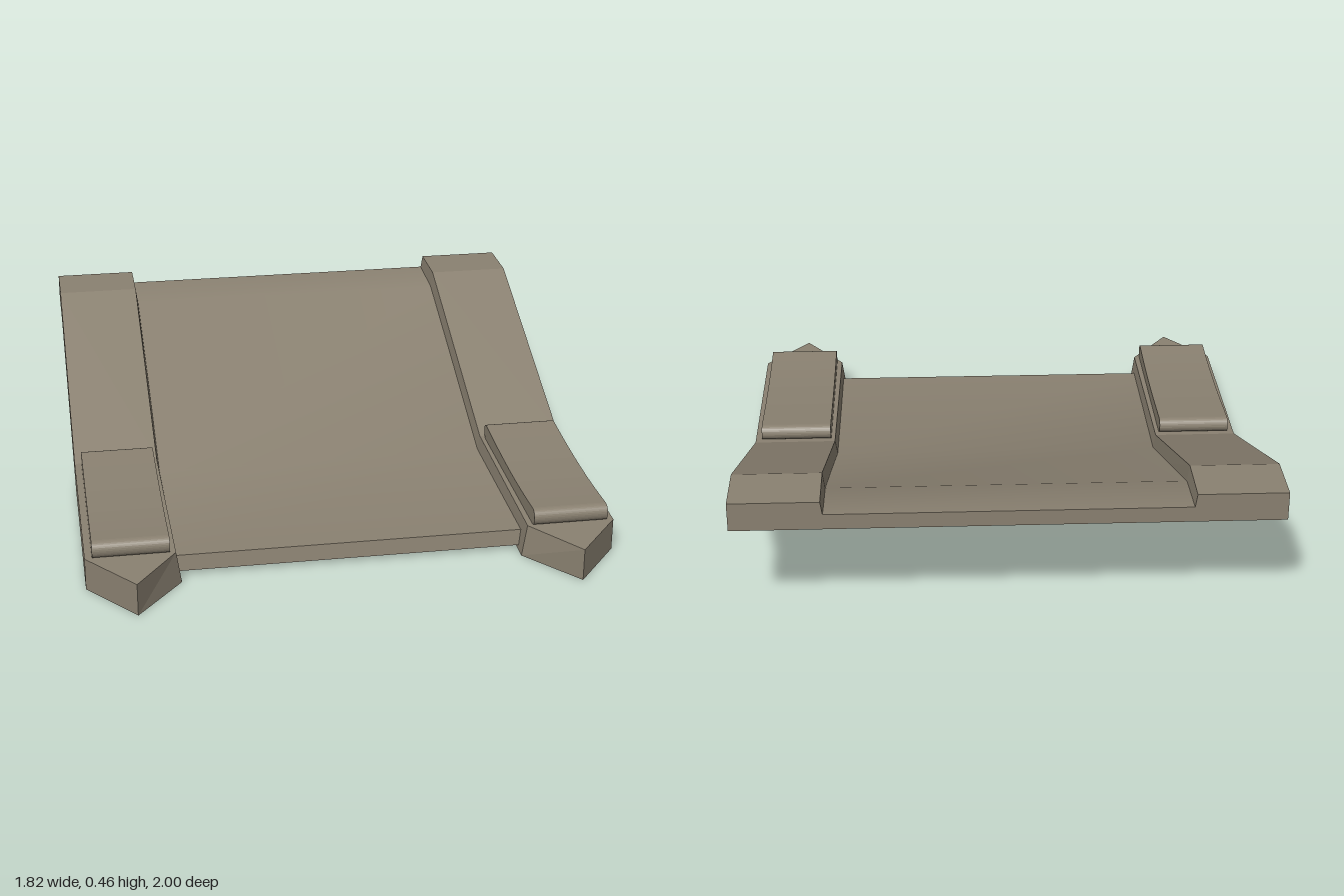
import * as THREE from 'three';

// Flat or smooth surface from triangles given as corner lists
function surface(points, quads, smooth) {
  let g = new THREE.BufferGeometry();
  g.setAttribute('position', new THREE.Float32BufferAttribute(points.flat(), 3));
  g.setIndex(quads.flatMap(([a, b, c, d]) => [a, b, c, a, c, d]));
  if (!smooth) g = g.toNonIndexed();
  g.computeVertexNormals();
  return g;
}

export function createModel() {
  const group = new THREE.Group();
  const material = new THREE.MeshStandardMaterial({ color: 0x8a8171, side: THREE.DoubleSide });
  material.name = 'weathered grey brown';
  const add = (name, geometry) => {
    const mesh = new THREE.Mesh(geometry, material);
    mesh.name = name;
    group.add(mesh);
    return mesh;
  };

  // Rail: open-bottomed channel lofted along z, pointed at the front
  // [z, bottom y, top y, outer x, inner top x, inner bottom x]
  const stations = [
    [1.0, 0, 0.115, 0.75, 0.75, 0.75],
    [0.8, 0, 0.115, 0.91, 0.605, 0.588],
    [0.08, 0.012, 0.122, 0.91, 0.61, 0.592],
    [-0.8, 0.348, 0.46, 0.91, 0.61, 0.595],
    [-1.0, 0.36, 0.46, 0.91, 0.61, 0.595],
  ];
  function rail(s) {
    const points = [], quads = [];
    stations.forEach(([z, lo, hi, xo, xi, xb], j) => {
      points.push([s * xo, lo, z], [s * xo, hi, z], [s * xi, hi, z], [s * xb, lo, z]);
      if (j === stations.length - 1) return;
      for (let k = 0; k < 3; k++) {
        const a = j * 4 + k;
        quads.push([a, a + 4, a + 5, a + 1]);
      }
    });
    const e = (stations.length - 1) * 4;
    quads.push([e + 3, e + 2, e + 1, e]); // back end
    if (s < 0) quads.forEach((q) => q.reverse());
    return surface(points, quads, false);
  }

  // Pad: side outline with rounded ends and a dished top, drawn in (-z, y)
  const outline = new THREE.Shape();
  outline.moveTo(-0.79, 0.113);
  outline.quadraticCurveTo(-0.812, 0.12, -0.812, 0.145);
  outline.quadraticCurveTo(-0.81, 0.172, -0.78, 0.172);
  outline.bezierCurveTo(-0.58, 0.158, -0.4, 0.158, -0.115, 0.179);
  outline.quadraticCurveTo(-0.085, 0.18, -0.083, 0.15);
  outline.quadraticCurveTo(-0.085, 0.128, -0.11, 0.122);
  outline.closePath();

  for (const [s, side] of [[1, 'left'], [-1, 'right']]) {
    add(side + 'Rail', rail(s));
    const pad = new THREE.ExtrudeGeometry(outline, { depth: 0.26, bevelEnabled: false, curveSegments: 8 });
    pad.rotateY(Math.PI / 2);
    pad.translate(s * 0.755 - 0.13, 0, 0);
    add(side + 'Pad', pad);
  }

  // Deck: thin sheet sagging between the rails
  const strip = (profile, smooth) => {
    const points = profile.flatMap(([z, y]) => [[-0.603, y, z], [0.603, y, z]]);
    const quads = profile.slice(1).map((_, j) => [2 * j, 2 * j + 1, 2 * j + 3, 2 * j + 2]);
    return surface(points, quads, smooth);
  };
  add('deck', strip([[0.74, 0.07], [0.08, 0.07], [-0.8, 0.402], [-1, 0.414]], true));
  add('frontLip', strip([[0.75, 0.015], [0.74, 0.07]], false));
  add('backLip', strip([[-1, 0.414], [-1, 0.36]], false));

  return group;
}
